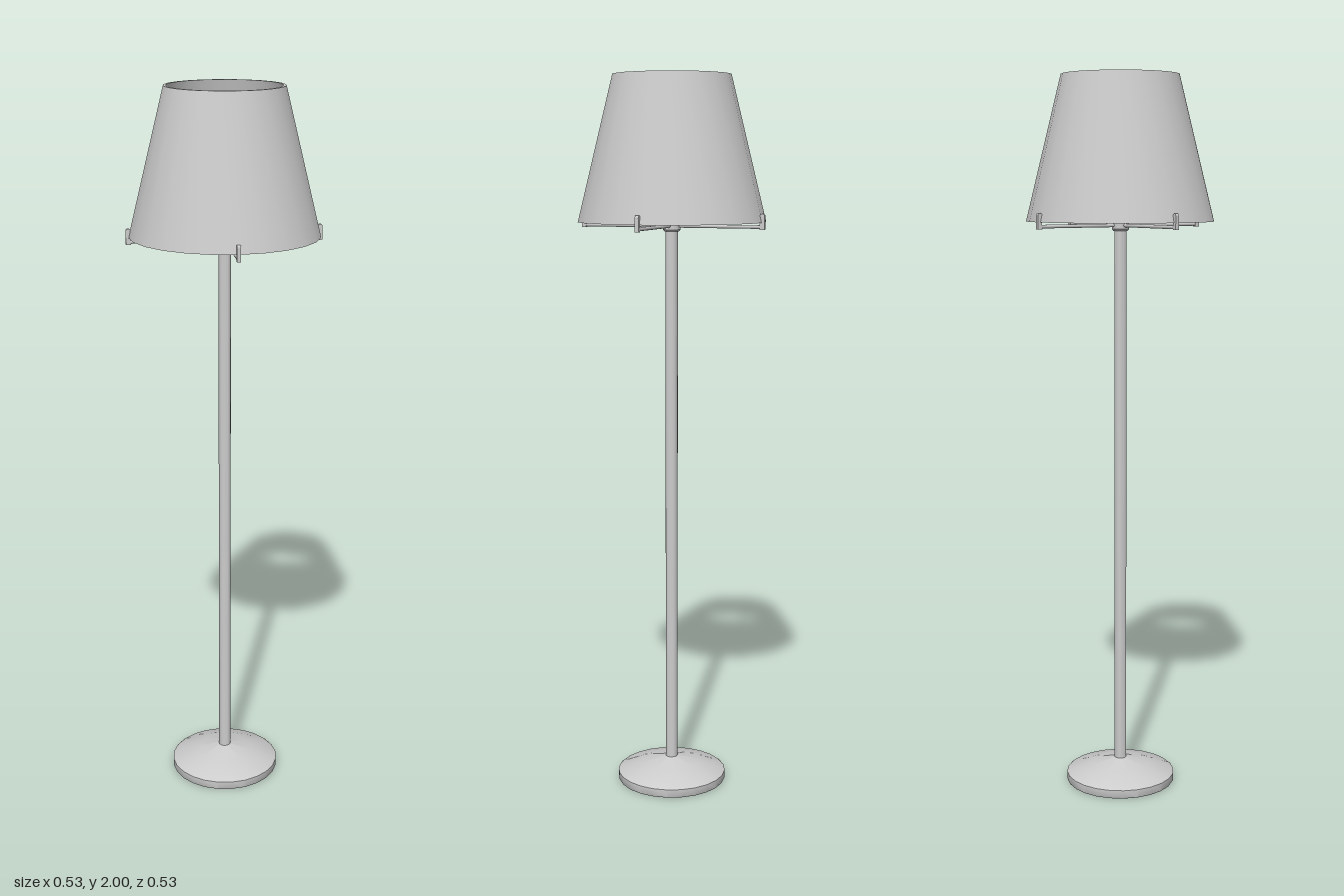
import * as THREE from 'three';
import { toCreasedNormals } from 'three/addons/utils/BufferGeometryUtils.js';

const SIDES = 24;

export function createModel() {
  const model = new THREE.Group();
  model.name = 'floorLamp';
  const material = new THREE.MeshStandardMaterial({ color: 0xcccccc });

  const add = (name, geometry, parent = model) => {
    const mesh = new THREE.Mesh(geometry, material);
    mesh.name = name;
    parent.add(mesh);
    return mesh;
  };
  // Turned part from [radius, height] pairs, listed bottom to top
  const turned = (points, sides = SIDES) => toCreasedNormals(
    new THREE.LatheGeometry(points.map(([r, y]) => new THREE.Vector2(r, y)), sides), 0.6);

  // Weighted foot: thin rim rising in a shallow cone to the pole
  add('base', turned([[0, 0], [0.153, 0], [0.155, 0.003], [0.155, 0.024], [0.15, 0.028],
    [0.08, 0.049], [0.022, 0.064], [0.016, 0.066]]));

  add('pole', turned([[0.017, 0.06], [0.017, 1.585], [0, 1.585]], 16));

  // Hub where the four arms meet, topped by the bulb socket
  add('hub', turned([[0, 1.582], [0.02, 1.582], [0.024, 1.587], [0.024, 1.602],
    [0.02, 1.607], [0.012, 1.608], [0.012, 1.625], [0, 1.625]], 16));

  // Bulb with a tapered neck
  add('bulb', turned([[0.011, 1.615], [0.012, 1.625], [0.02, 1.635], [0.025, 1.648],
    [0.0235, 1.659], [0.018, 1.668], [0.01, 1.673], [0, 1.675]], 16));

  // Hollow conical shade: outer wall, top rim, inner wall, bottom rim
  add('shade', turned([[0.252, 1.608], [0.258, 1.608], [0.161, 2], [0.153, 2], [0.252, 1.608]]));

  // Four arms, each ending in an upright clip that holds the shade
  for (let i = 0; i < 4; i++) {
    const arm = new THREE.Group();
    arm.name = 'shadeSupport' + (i + 1);
    arm.rotation.y = i * Math.PI / 2;
    model.add(arm);

    const rod = new THREE.CylinderGeometry(0.005, 0.005, 0.25, 10);
    rod.rotateZ(Math.PI / 2);
    add('arm', rod, arm).position.set(0.135, 1.597, 0);

    // Rounded-top clip, extruded across the rod
    const outline = new THREE.Shape();
    outline.moveTo(0.252, 1.59);
    outline.lineTo(0.265, 1.59);
    outline.lineTo(0.265, 1.626);
    outline.absarc(0.2585, 1.626, 0.0065, 0, Math.PI, false);
    outline.closePath();
    const clip = new THREE.ExtrudeGeometry(outline, { depth: 0.01, bevelEnabled: false, curveSegments: 6 });
    clip.translate(0, 0, -0.005);
    add('clip', clip, arm);
  }
  return model;
}
